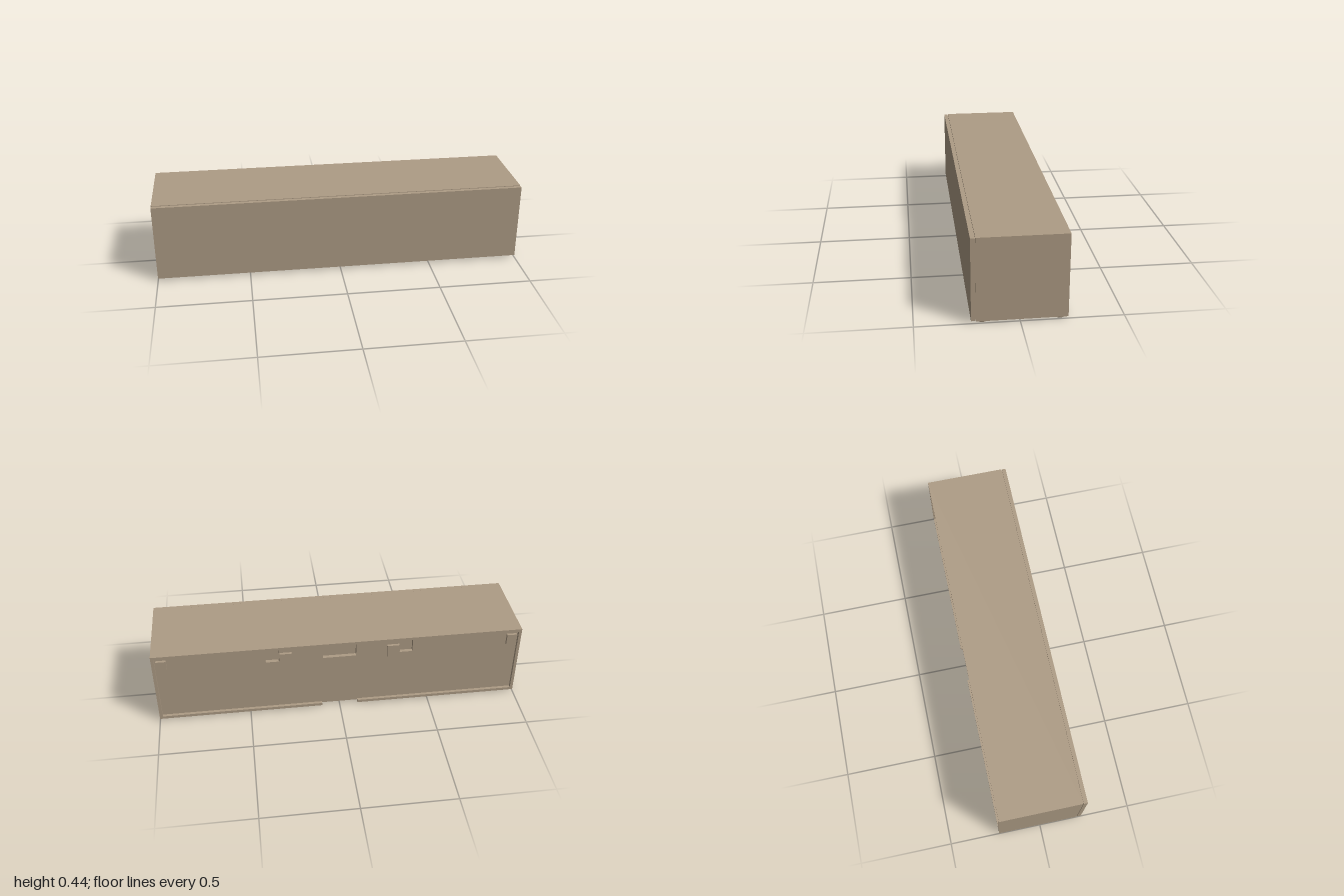
import * as THREE from 'three';

export function createModel() {
  const group = new THREE.Group();
  const taupe = new THREE.MeshStandardMaterial({ color: 0xae9c85 });
  taupe.name = 'taupe lacquer';

  const add = (name, geometry) => {
    const mesh = new THREE.Mesh(geometry, taupe);
    mesh.name = name;
    group.add(mesh);
    return mesh;
  };
  // Box given by its limits on each axis
  const box = (name, x0, x1, y0, y1, z0, z1) =>
    add(name, new THREE.BoxGeometry(x1 - x0, y1 - y0, z1 - z0))
      .position.set((x0 + x1) / 2, (y0 + y1) / 2, (z0 + z1) / 2);
  const shapeOf = (points) => new THREE.Shape(points.map(([x, y]) => new THREE.Vector2(x, y)));

  const bottom = 0.01, top = 0.438, back = -0.23, front = 0.208, wall = 0.016;

  // Carcass
  box('topPanel', -1, 1, top - wall, top, back, front);
  for (const s of [-1, 1]) {
    const a = s * (1 - wall), b = s;
    box(s > 0 ? 'leftSide' : 'rightSide', Math.min(a, b), Math.max(a, b), bottom, top - wall, back, front);
  }

  // Bottom panel with a cable notch in its rear edge
  const w = 1 - wall;
  const floor = new THREE.ExtrudeGeometry(shapeOf([
    [-w, -front], [w, -front], [w, -back], [0.1, -back], [0.1, -back - 0.025],
    [-0.1, -back - 0.025], [-0.1, -back], [-w, -back],
  ]), { depth: wall, bevelEnabled: false });
  floor.rotateX(-Math.PI / 2);
  add('bottomPanel', floor).position.y = bottom;

  // Front panel, separated by a fine shadow gap
  box('frontPanel', -1, 1, 0.013, 0.436, 0.211, 0.232);
  box('frontGapCore', -0.995, 0.995, 0.018, 0.43, 0.19, 0.212);

  // Recessed back panel: cable notch at the top, pockets beside the hangers
  const y0 = bottom + wall, y1 = top - wall;
  const panel = shapeOf([
    [-w, y0], [w, y0], [w, y1], [0.09, y1], [0.09, 0.335], [-0.09, 0.335], [-0.09, y1], [-w, y1],
  ]);
  for (const s of [-1, 1]) {
    const hole = new THREE.Path();
    [[0.33, 0.335], [0.4, 0.335], [0.4, 0.41], [0.33, 0.41]].forEach(([x, y], i) =>
      i ? hole.lineTo(s * x, y) : hole.moveTo(s * x, y));
    hole.closePath();
    panel.holes.push(hole);
  }
  add('backPanel', new THREE.ExtrudeGeometry(panel, { depth: 0.02, bevelEnabled: false }))
    .position.z = back + 0.016;
  box('pocketBacking', -0.5, 0.5, 0.3, y1, back + 0.036, back + 0.042);

  // Wall hangers, inner pair and corner pair
  for (const s of [-1, 1]) {
    for (const [x, y, width, height] of [[0.292, 0.355, 0.066, 0.075], [0.95, 0.37, 0.055, 0.065]]) {
      box('wallHanger', s * x - width / 2, s * x + width / 2, y - height / 2, y + height / 2,
        back + 0.002, back + 0.02);
    }
  }

  // Low round feet
  for (const x of [-0.967, -0.333, 0.333, 0.967]) {
    for (const z of [0.178, -0.192]) {
      const foot = new THREE.LatheGeometry([
        [0, 0], [0.024, 0], [0.028, 0.003], [0.028, 0.012],
      ].map(([r, y]) => new THREE.Vector2(r, y)), 24);
      add('foot', foot).position.set(x, 0, z);
    }
  }
  return group;
}
